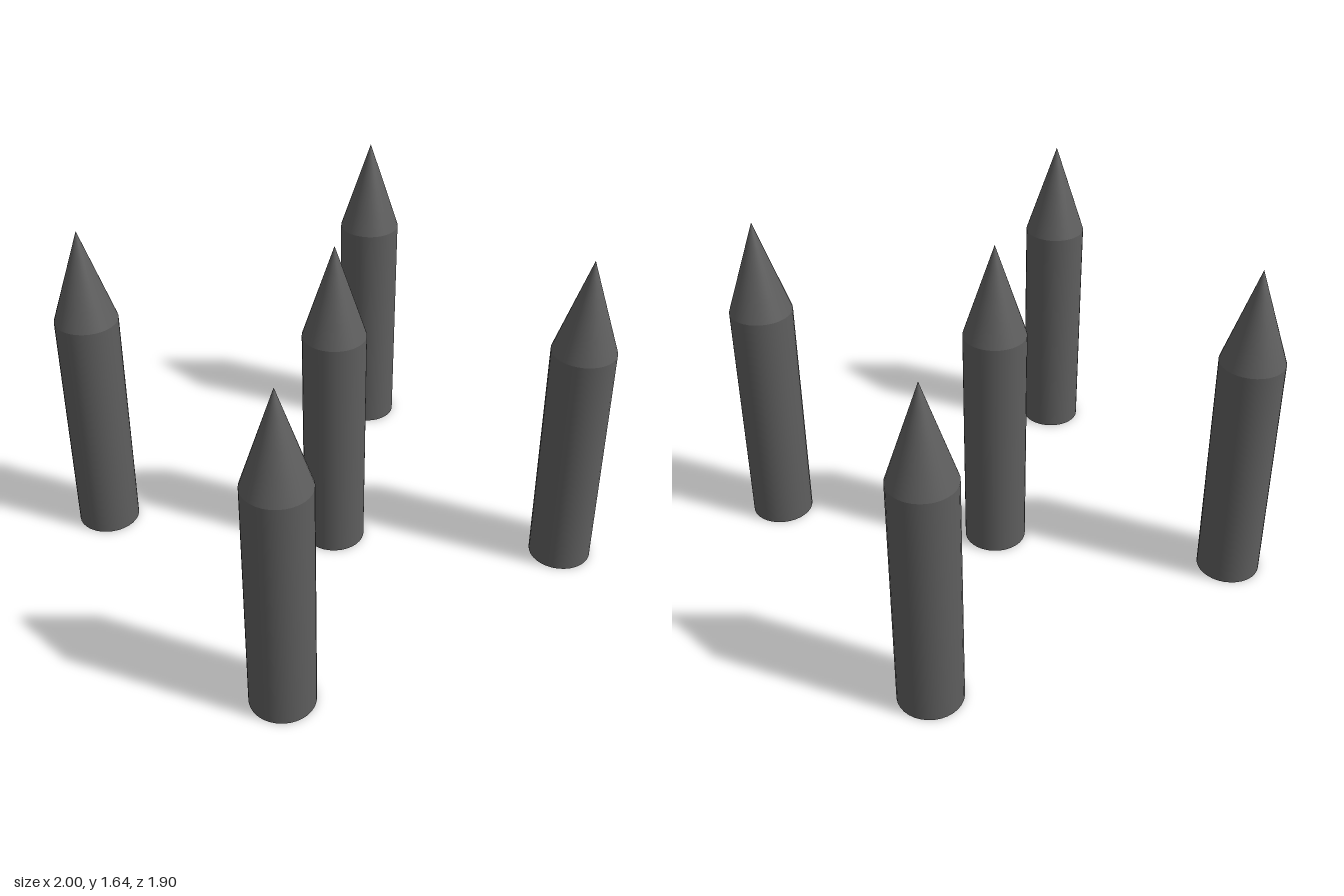
import * as THREE from 'three';

const RADIUS = 0.152, SHAFT = 1.18, TIP = 0.46, SIDES = 32;

export function createModel() {
  const model = new THREE.Group();
  model.name = 'spikes';

  const darkGrey = new THREE.MeshStandardMaterial({ color: 0x5e5e5e });
  darkGrey.name = 'dark grey';

  const shaftGeometry = new THREE.CylinderGeometry(RADIUS, RADIUS, SHAFT, SIDES);
  shaftGeometry.translate(0, SHAFT / 2, 0);
  // Several rings keep the shading smooth up to the point
  const tipGeometry = new THREE.CylinderGeometry(0, RADIUS, TIP, SIDES, 4, true);
  tipGeometry.translate(0, SHAFT + TIP / 2, 0);

  function addSpike(name, x, z) {
    const spike = new THREE.Group();
    spike.name = name;
    const shaft = new THREE.Mesh(shaftGeometry, darkGrey);
    shaft.name = 'shaft';
    const tip = new THREE.Mesh(tipGeometry, darkGrey);
    tip.name = 'tip';
    spike.add(shaft, tip);
    spike.position.set(x, 0, z);
    model.add(spike);
  }

  // One spike at each corner and one near the middle
  for (const [side, sx] of [['Left', 1], ['Right', -1]]) {
    for (const [end, sz] of [['front', 1], ['back', -1]]) {
      addSpike(`${end}${side}Spike`, sx * 0.848, sz * 0.8);
    }
  }
  addSpike('centreSpike', 0.013, 0.014);

  return model;
}
